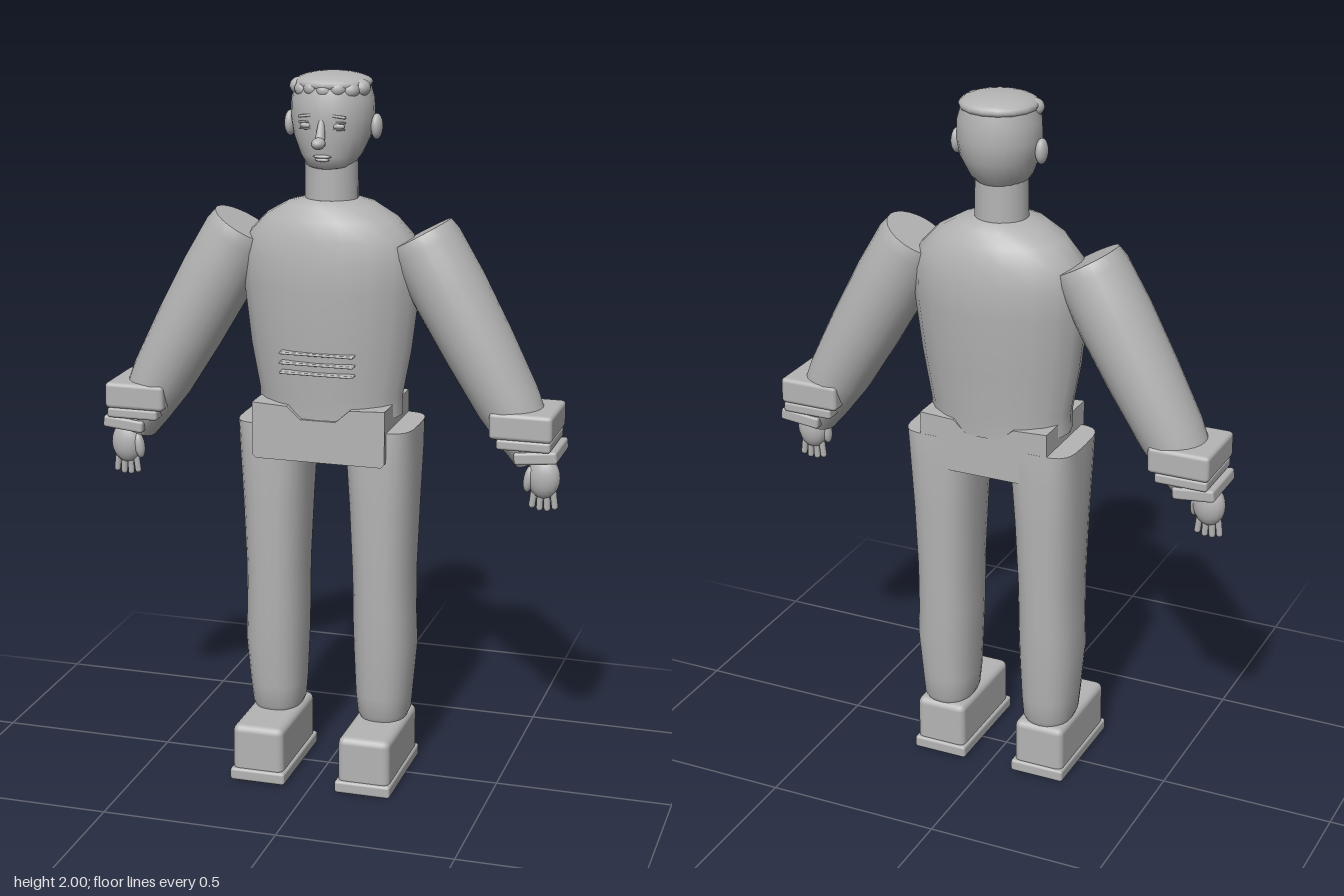
import * as THREE from 'three';
import { RoundedBoxGeometry } from 'three/addons/geometries/RoundedBoxGeometry.js';

const grey = new THREE.MeshStandardMaterial({ color: 0xb4b4b4 });
grey.name = 'plain grey';

function add(parent, name, geometry, x = 0, y = 0, z = 0) {
  const mesh = new THREE.Mesh(geometry, grey);
  mesh.name = name;
  mesh.position.set(x, y, z);
  parent.add(mesh);
  return mesh;
}

// Smooth body through sections [y, halfWidth, halfDepth, centreX, centreZ, squareness], listed upwards.
function loft(sections, sides = 24) {
  const pos = [], index = [];
  const ring = ([y, rx, rz, cx = 0, cz = 0, n = 2]) => {
    const start = pos.length / 3;
    for (let i = 0; i < sides; i++) {
      const a = (i / sides) * Math.PI * 2, c = Math.cos(a), s = Math.sin(a);
      pos.push(cx + rx * Math.sign(c) * Math.abs(c) ** (2 / n), y, cz + rz * Math.sign(s) * Math.abs(s) ** (2 / n));
    }
    return start;
  };
  const starts = sections.map(ring);
  for (let r = 0; r < starts.length - 1; r++) {
    for (let i = 0; i < sides; i++) {
      const j = (i + 1) % sides, a = starts[r], b = starts[r + 1];
      index.push(a + i, b + i, b + j, a + i, b + j, a + j);
    }
  }
  // end caps with their own corners, so the rims stay sharp
  [sections[0], sections[sections.length - 1]].forEach((sec, top) => {
    const start = ring(sec), centre = pos.length / 3;
    pos.push(sec[3] || 0, sec[0], sec[4] || 0);
    for (let i = 0; i < sides; i++) {
      const j = (i + 1) % sides;
      if (top) index.push(centre, start + j, start + i);
      else index.push(centre, start + i, start + j);
    }
  });
  const g = new THREE.BufferGeometry();
  g.setAttribute('position', new THREE.Float32BufferAttribute(pos, 3));
  g.setIndex(index);
  g.computeVertexNormals();
  return g;
}

const ball = (rx, ry, rz) => new THREE.SphereGeometry(1, 16, 12).scale(rx, ry, rz);
const box = (w, h, d, r = 0.012) => new RoundedBoxGeometry(w, h, d, 2, r);

function buildHead() {
  const head = new THREE.Group();
  head.name = 'head';
  add(head, 'neck', new THREE.CylinderGeometry(0.072, 0.074, 0.14, 20), 0, 1.71, -0.03);
  add(head, 'skull', loft([
    [1.738, 0.035, 0.04, 0, -0.015], [1.75, 0.062, 0.072, 0, -0.02], [1.78, 0.084, 0.092, 0, -0.03],
    [1.83, 0.106, 0.108, 0, -0.04], [1.88, 0.115, 0.114, 0, -0.042], [1.93, 0.113, 0.112, 0, -0.042],
    [1.97, 0.1, 0.1, 0, -0.045]]));
  add(head, 'hairCap', ball(0.108, 0.03, 0.108), 0, 1.97, -0.045);
  // fringe of curls over the forehead
  for (let i = -3; i <= 3; i++) {
    const a = i * 0.36;
    add(head, 'curl', ball(0.026, 0.024, 0.03), Math.sin(a) * 0.098, 1.957 + (i % 2 ? 0.004 : 0), -0.055 + Math.cos(a) * 0.09);
  }
  for (const s of [-1, 1]) {
    add(head, 'ear', ball(0.016, 0.035, 0.025), s * 0.122, 1.855, -0.045);
    add(head, 'brow', box(0.045, 0.007, 0.012, 0.003), s * 0.044, 1.892, 0.062).rotation.z = -s * 0.12;
    add(head, 'eye', ball(0.018, 0.008, 0.008), s * 0.045, 1.866, 0.06);
    add(head, 'upperLid', box(0.04, 0.005, 0.01, 0.002), s * 0.045, 1.875, 0.061);
    add(head, 'lowerLid', box(0.036, 0.004, 0.01, 0.0015), s * 0.045, 1.857, 0.061);
  }
  add(head, 'noseBridge', new THREE.CylinderGeometry(0.008, 0.016, 0.065, 12), 0, 1.848, 0.075).rotation.x = -0.3;
  add(head, 'noseTip', ball(0.019, 0.016, 0.024), 0, 1.823, 0.096);
  add(head, 'upperLip', ball(0.026, 0.005, 0.008), 0, 1.783, 0.062);
  add(head, 'lowerLip', ball(0.02, 0.005, 0.008), 0, 1.774, 0.06);
  return head;
}

function buildTrunk() {
  const trunk = new THREE.Group();
  trunk.name = 'trunk';
  add(trunk, 'torso', loft([
    [1.06, 0.205, 0.13, 0, -0.03], [1.12, 0.206, 0.133, 0, -0.03], [1.25, 0.23, 0.146, 0, -0.03],
    [1.42, 0.25, 0.16, 0, -0.033], [1.5, 0.25, 0.158, 0, -0.033], [1.56, 0.232, 0.15, 0, -0.033],
    [1.61, 0.185, 0.137, 0, -0.03], [1.645, 0.125, 0.115, 0, -0.03], [1.66, 0.07, 0.08, 0, -0.03]], 20));
  // three ribs across the belly
  for (const y of [1.195, 1.222, 1.25]) {
    add(trunk, 'bellyRib', box(0.21, 0.007, 0.03, 0.003), 0, y, 0.112);
  }
  // hip block with a dip in its upper edge
  const hip = new THREE.Shape([
    [-0.19, 0.95], [-0.18, 0.94], [0.18, 0.94], [0.19, 0.95], [0.19, 1.1], [0.09, 1.095],
    [0.05, 1.06], [-0.05, 1.06], [-0.09, 1.095], [-0.19, 1.1]].map(p => new THREE.Vector2(...p)));
  add(trunk, 'hipBlock', new THREE.ExtrudeGeometry(hip, { depth: 0.26, bevelEnabled: false }), 0, 0, -0.155);
  return trunk;
}

function buildLeg(s) {
  const leg = new THREE.Group();
  leg.name = s > 0 ? 'leftLeg' : 'rightLeg';
  add(leg, 'trouserLeg', loft([
    [0.15, 0.06, 0.075, s * 0.158, -0.035, 2.4], [0.18, 0.073, 0.092, s * 0.158, -0.035, 2.4],
    [0.24, 0.078, 0.1, s * 0.158, -0.033, 2.4], [0.38, 0.087, 0.109, s * 0.161, -0.033, 2.4],
    [0.47, 0.086, 0.113, s * 0.158, -0.032, 2.4], [0.6, 0.086, 0.117, s * 0.157, -0.032, 2.4],
    [0.8, 0.094, 0.123, s * 0.156, -0.033, 2.5], [0.96, 0.1, 0.125, s * 0.155, -0.034, 3],
    [1.035, 0.098, 0.122, s * 0.155, -0.034, 4]]));
  add(leg, 'shoe', box(0.15, 0.145, 0.315, 0.02), s * 0.156, 0.093, 0.031);
  add(leg, 'sole', box(0.162, 0.036, 0.33, 0.008), s * 0.155, 0.018, 0.031);
  return leg;
}

function buildArm(s) {
  const arm = new THREE.Group();
  arm.name = s > 0 ? 'leftArm' : 'rightArm';
  // sleeve lofted along its own axis, then tilted out from the shoulder
  const shoulder = new THREE.Vector3(s * 0.25, 1.57, -0.033);
  const wrist = new THREE.Vector3(s * 0.585, 0.97, -0.033);
  const length = shoulder.distanceTo(wrist);
  const sleeve = add(arm, 'sleeve', loft([
    [0, 0.06, 0.072], [0.1 * length, 0.074, 0.086], [0.25 * length, 0.09, 0.098],
    [0.5 * length, 0.1, 0.103], [0.75 * length, 0.105, 0.106], [0.95 * length, 0.102, 0.1],
    [length, 0.094, 0.09]]), wrist.x, wrist.y, wrist.z);
  sleeve.quaternion.setFromUnitVectors(new THREE.Vector3(0, 1, 0), shoulder.clone().sub(wrist).normalize());
  add(arm, 'cuff', box(0.175, 0.075, 0.2), s * 0.557, 1.073, -0.033);
  add(arm, 'cuffRim', box(0.15, 0.03, 0.19, 0.008), s * 0.565, 1.022, -0.033);
  add(arm, 'wristBand', box(0.12, 0.035, 0.17, 0.008), s * 0.597, 0.987, -0.033).rotation.z = s * 0.1;

  // hand with four fingers and a thumb
  const hand = new THREE.Group();
  hand.name = 'hand';
  add(hand, 'palm', ball(0.046, 0.06, 0.032), s * 0.61, 0.918, -0.015);
  for (let i = 0; i < 4; i++) {
    const f = add(hand, 'finger', new THREE.CapsuleGeometry(0.0095, 0.055, 4, 8), s * (0.582 + i * 0.019), 0.858 + (i === 0 || i === 3 ? 0.006 : 0), -0.015);
    f.rotation.z = s * (i - 1.5) * 0.08;
  }
  add(hand, 'thumb', ball(0.015, 0.038, 0.018), s * 0.57, 0.912, -0.008).rotation.z = -s * 0.15;
  arm.add(hand);
  return arm;
}

export function createModel() {
  const model = new THREE.Group();
  model.name = 'figure';
  model.add(buildHead(), buildTrunk());
  for (const s of [-1, 1]) model.add(buildLeg(s), buildArm(s));
  return model;
}
